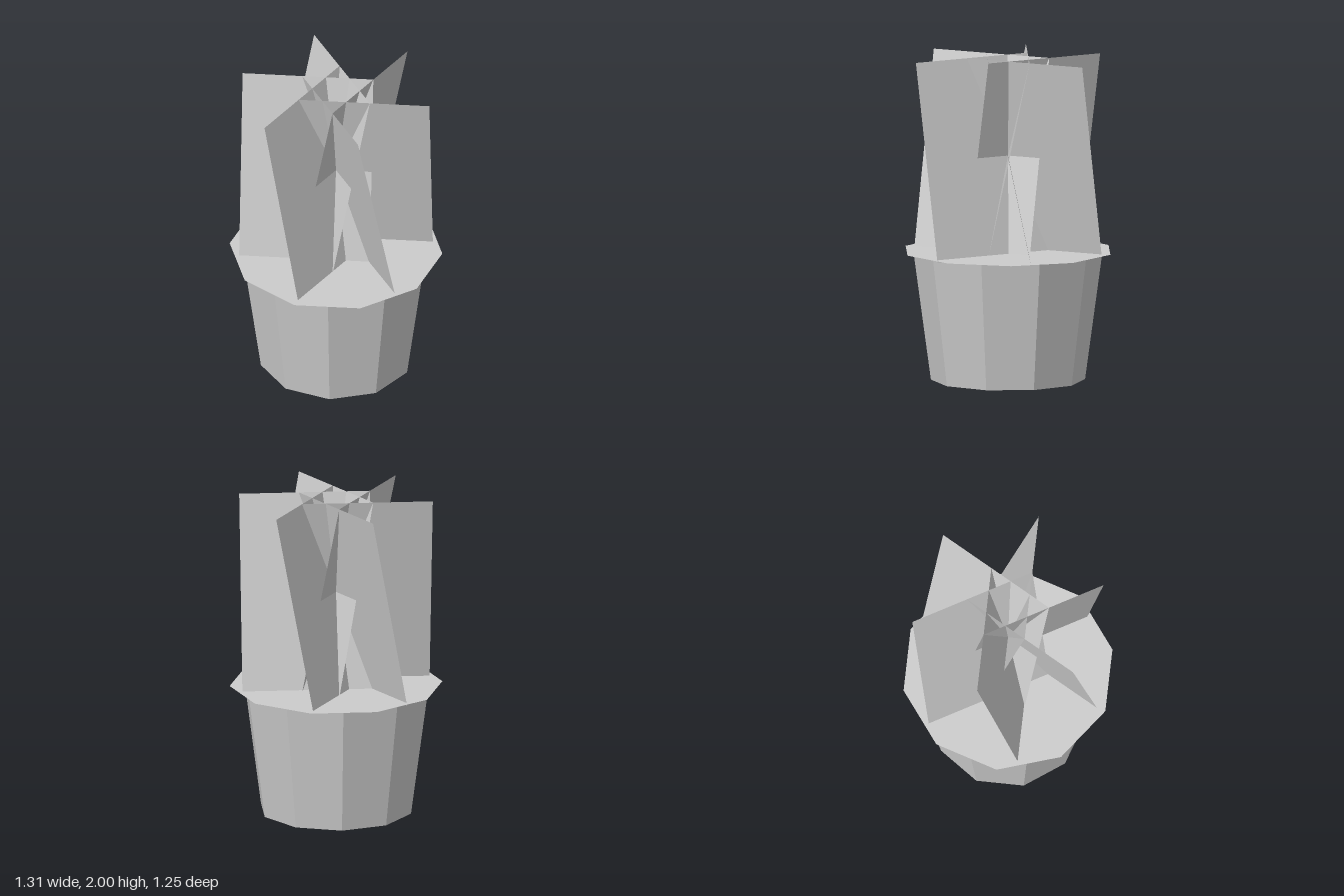
import * as THREE from 'three';

export function createModel() {
  const model = new THREE.Group();
  const gray = new THREE.MeshStandardMaterial({ color: 0xcccccc, flatShading: true, side: THREE.DoubleSide });
  gray.name = 'plain gray';

  const add = (name, geometry) => {
    const mesh = new THREE.Mesh(geometry, gray);
    mesh.name = name;
    model.add(mesh);
    return mesh;
  };

  // Ten-sided tapered pot, one corner facing the front
  add('pot', new THREE.CylinderGeometry(0.583, 0.475, 0.8, 10).translate(0, 0.4, 0));

  // Flat ten-sided disc on the pot, one corner facing the side
  add('disc', new THREE.CircleGeometry(0.657, 10).rotateX(-Math.PI / 2).translate(0, 0.803, 0));

  // Six flat leaves, leaning sideways and crossing past the centre
  const inner = -0.22, outer = 0.588, bottom = 0.786, top = 2, lean = 0.254;
  const rise = top - bottom;
  for (let i = 0; i < 6; i++) {
    const leaf = new THREE.PlaneGeometry(outer - inner, Math.hypot(rise, lean))
      .rotateX(Math.atan2(lean, rise))
      .translate((inner + outer) / 2, (top + bottom) / 2, 0)
      .rotateY(i * Math.PI / 3);
    add('leaf' + (i + 1), leaf);
  }

  return model;
}
